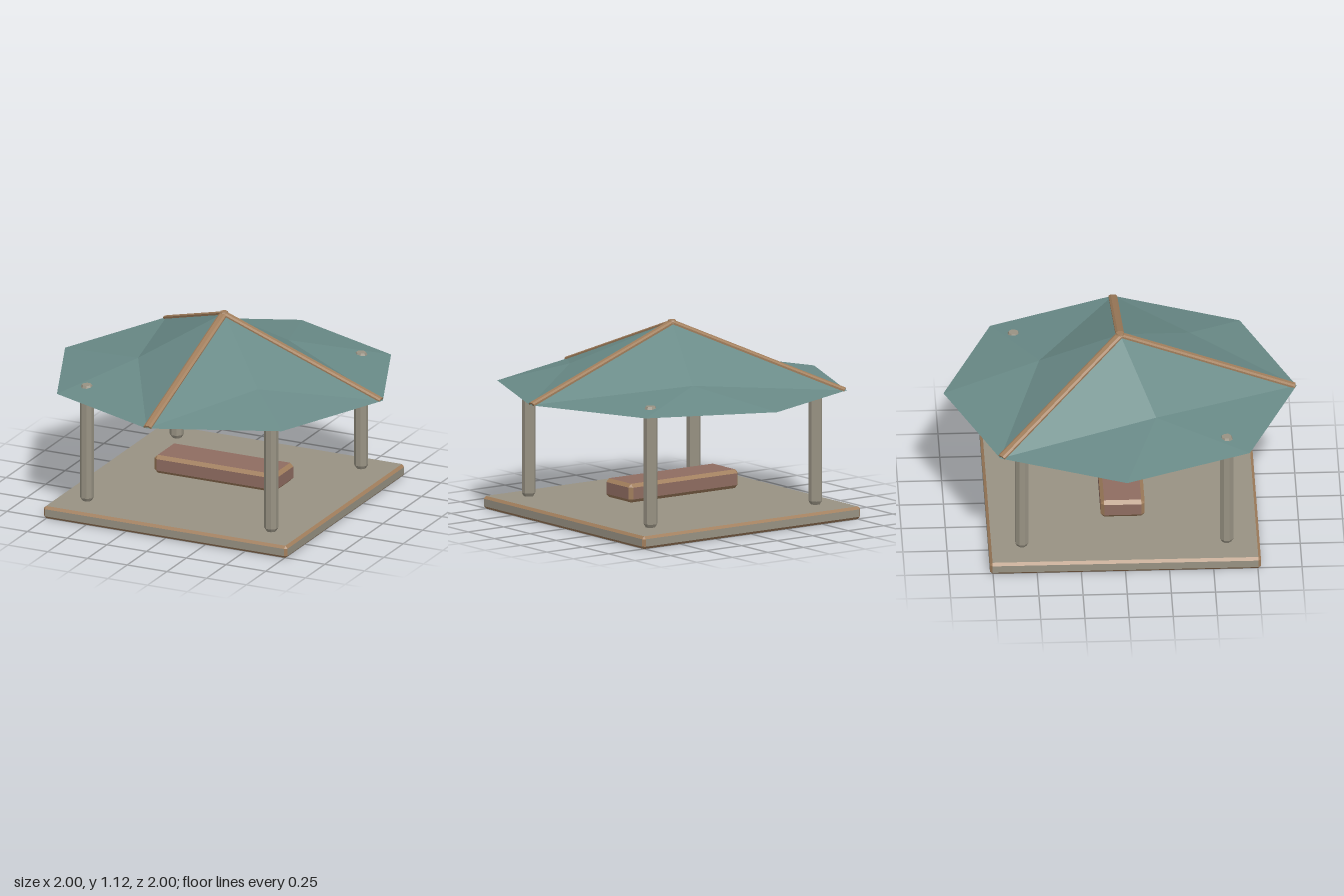
import * as THREE from 'three';
import { ConvexGeometry } from 'three/addons/geometries/ConvexGeometry.js';

const paint = (name, color) => {
  const m = new THREE.MeshStandardMaterial({ color, flatShading: true });
  m.name = name;
  return m;
};

// Box with chamfered edges: flat faces use material 0, chamfers material 1
function chamferedBox(w, h, d, c) {
  const half = [w / 2, h / 2, d / 2];
  const points = [];
  for (const sx of [-1, 1]) for (const sy of [-1, 1]) for (const sz of [-1, 1]) {
    for (let axis = 0; axis < 3; axis++) {
      const p = half.map((v, i) => (i === axis ? v : v - c));
      points.push(new THREE.Vector3(p[0] * sx, p[1] * sy, p[2] * sz));
    }
  }
  const geo = new ConvexGeometry(points);
  const n = geo.attributes.normal;
  for (let i = 0; i < n.count; i += 3) {
    const top = Math.max(Math.abs(n.getX(i)), Math.abs(n.getY(i)), Math.abs(n.getZ(i)));
    geo.addGroup(i, 3, top > 0.99 ? 0 : 1);
  }
  return geo;
}

export function createModel() {
  const group = new THREE.Group();
  const stone = paint('stone', 0x989283);
  const trim = paint('tanTrim', 0xa17e5c);
  const bench = paint('benchWood', 0x8f6c61);
  const teal = paint('tealRoof', 0x698a87);

  const add = (name, geo, mat, x = 0, y = 0, z = 0) => {
    const mesh = new THREE.Mesh(geo, mat);
    mesh.name = name;
    mesh.position.set(x, y, z);
    group.add(mesh);
    return mesh;
  };

  // Floor slab and bench
  add('floorSlab', chamferedBox(1.535, 0.073, 1.535, 0.015), [stone, trim], 0, 0.0365, 0);
  add('bench', chamferedBox(0.77, 0.108, 0.25, 0.02), [bench, trim], 0, 0.177, 0);

  // Four corner posts with tapered ends
  const profile = [[0, 0.08], [0.028, 0.08], [0.04, 0.1], [0.04, 0.75], [0.028, 0.776], [0, 0.776]]
    .map(([r, y]) => new THREE.Vector2(r, y));
  const postGeo = new THREE.LatheGeometry(profile, 8, Math.PI / 8);
  for (const x of [-0.58, 0.58]) for (const z of [-0.58, 0.58]) add('post', postGeo, stone, x, 0, z);

  // Roof: three faceted panels between the ridges, each fanned around an inner point
  const eave = 0.74, peak = 1.108;
  const polar = (a, r, y) => [Math.cos(a) * r, y, Math.sin(a) * r];
  const step = Math.PI / 4;
  const panels = [
    { from: 0, to: 2, r: 0.584, y: 0.85 },
    { from: 2, to: 5, r: 0.487, y: 0.828 },
    { from: 5, to: 8, r: 0.487, y: 0.828 },
  ];
  const verts = [];
  for (const { from, to, r, y } of panels) {
    const inner = polar((from + to) / 2 * step, r, y);
    const loop = [[0, peak, 0]];
    for (let i = from; i <= to; i++) loop.push(polar(i * step, 1, eave));
    loop.forEach((p, i) => verts.push(...inner, ...loop[(i + 1) % loop.length], ...p));
  }
  const roofGeo = new THREE.BufferGeometry();
  roofGeo.setAttribute('position', new THREE.Float32BufferAttribute(verts, 3));
  roofGeo.computeVertexNormals();
  add('roof', roofGeo, teal);
  add('roofUnderside', new THREE.CircleGeometry(1, 8).rotateX(Math.PI / 2), teal, 0, eave, 0);

  // Chamfered ridge strips running from the peak to the eave
  const section = new THREE.Shape([
    [-0.024, -0.008], [0.024, -0.008], [0.024, 0.003], [0.012, 0.01], [-0.012, 0.01], [-0.024, 0.003],
  ].map(([x, y]) => new THREE.Vector2(x, y)));
  const drop = peak - eave;
  const ridgeGeo = new THREE.ExtrudeGeometry(section, {
    depth: Math.hypot(1, drop) * 0.99, bevelEnabled: false,
  }).rotateX(Math.atan(drop));
  for (const { from } of panels) {
    add('ridge', ridgeGeo, trim, 0, peak, 0).rotation.y = Math.PI / 2 - from * step;
  }
  // Small cap where the ridges meet
  add('ridgeCap', new THREE.CylinderGeometry(0.022, 0.03, 0.02, 8), trim, 0, peak, 0);

  return group;
}
